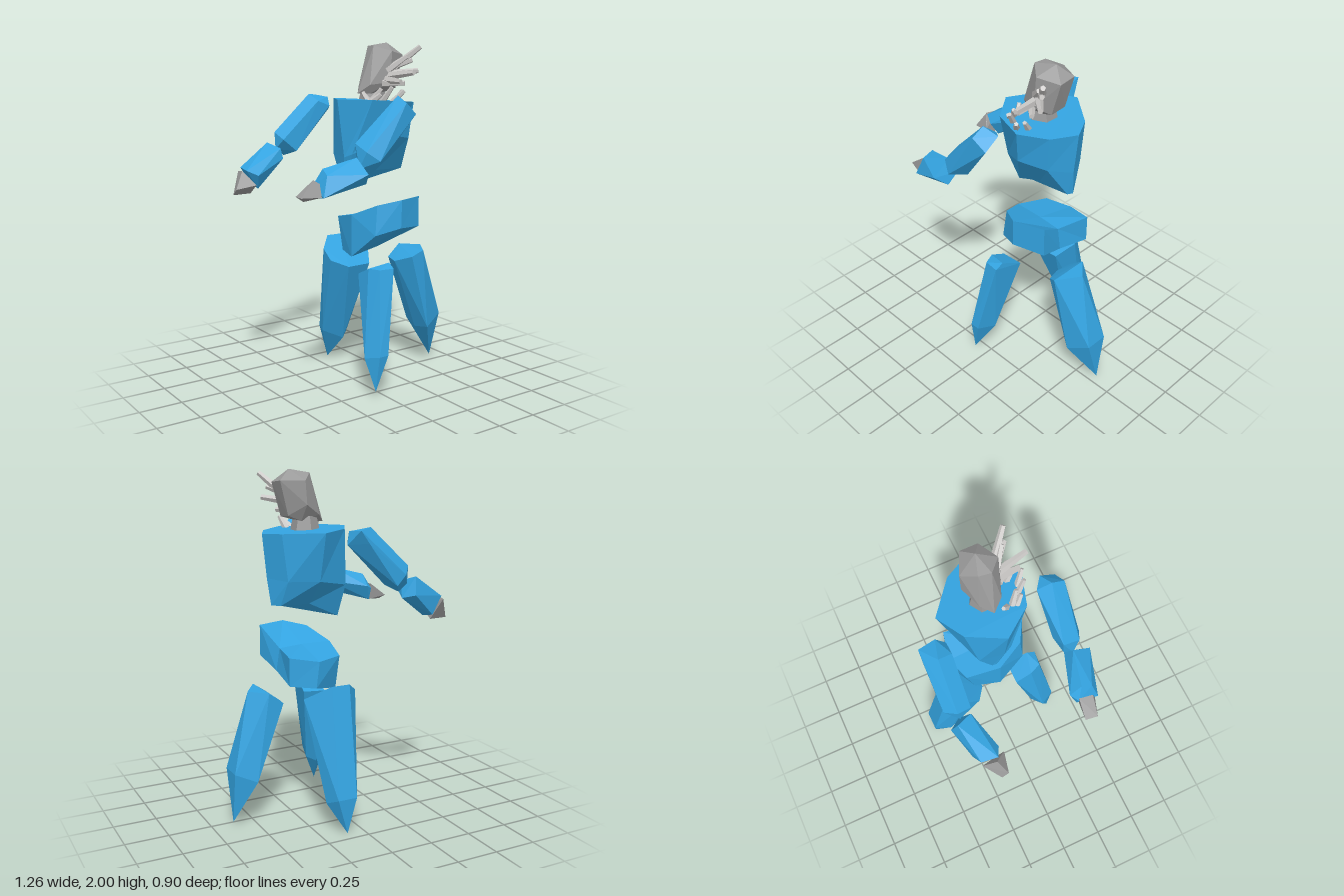
import * as THREE from 'three';
import { ConvexGeometry } from 'three/addons/geometries/ConvexGeometry.js';

const blue = new THREE.MeshStandardMaterial({ color: 0x33a3e0 });
blue.name = 'blue stone';
const grey = new THREE.MeshStandardMaterial({ color: 0x999999 });
grey.name = 'grey stone';
const paleGrey = new THREE.MeshStandardMaterial({ color: 0xc8c6c4 });
paleGrey.name = 'pale grey';

const vec = (p) => new THREE.Vector3(...p);

function addMesh(parent, name, geometry, material) {
  const mesh = new THREE.Mesh(geometry, material);
  mesh.name = name;
  parent.add(mesh);
  return mesh;
}

// Faceted convex stone from its corner points
const stone = (points) => new ConvexGeometry(points.map(vec));

// Faceted loft through equal, even-length loops, closed at both ends by strips
function loft(loops) {
  const rings = loops.map((loop) => loop.map(vec));
  const out = [];
  const quad = (a, b, c, d) => [a, b, c, a, c, d].forEach((p) => out.push(p.x, p.y, p.z));
  const n = rings[0].length;
  for (let r = 0; r < rings.length - 1; r++) {
    const a = rings[r], b = rings[r + 1];
    for (let i = 0; i < n; i++) {
      const j = (i + 1) % n;
      quad(a[i], a[j], b[j], b[i]);
    }
  }
  const first = rings[0], last = rings[rings.length - 1];
  for (let i = 0; i < n / 2 - 1; i++) {
    quad(first[n - 1 - i], first[n - 2 - i], first[i + 1], first[i]);
    quad(last[i], last[i + 1], last[n - 2 - i], last[n - 1 - i]);
  }
  const geometry = new THREE.BufferGeometry();
  geometry.setAttribute('position', new THREE.Float32BufferAttribute(out, 3));
  geometry.computeVertexNormals();
  return geometry;
}

// Blunt tapered spike between two points
function addSpike(parent, name, base, tip, radius) {
  const a = vec(base), b = vec(tip);
  const dir = b.clone().sub(a);
  const geometry = new THREE.CylinderGeometry(radius * 0.6, radius, dir.length(), 5).toNonIndexed();
  geometry.computeVertexNormals();
  const mesh = addMesh(parent, name, geometry, paleGrey);
  mesh.position.copy(a).add(b).multiplyScalar(0.5);
  mesh.quaternion.setFromUnitVectors(new THREE.Vector3(0, 1, 0), dir.normalize());
}

export function createModel() {
  const model = new THREE.Group();
  model.name = 'stoneGolem';

  // Torso: broad top ring, middle ring, slanted keel
  addMesh(model, 'torso', loft([
    [[-0.105, 1.68, 0], [0, 1.68, -0.2], [0.16, 1.67, -0.29], [0.35, 1.66, -0.14],
      [0.415, 1.655, -0.02], [0.345, 1.66, 0.125], [0.2, 1.67, 0.22], [0.02, 1.68, 0.165]],
    [[-0.06, 1.35, 0], [-0.04, 1.36, -0.14], [0.16, 1.4, -0.22], [0.32, 1.4, -0.15],
      [0.39, 1.41, -0.02], [0.32, 1.45, 0.11], [0.17, 1.475, 0.18], [-0.04, 1.37, 0.05]],
    [[-0.035, 1.18, -0.05], [-0.03, 1.17, -0.06], [0.165, 1.26, -0.09], [0.34, 1.26, -0.09],
      [0.375, 1.26, -0.04], [0.36, 1.26, -0.01], [0.165, 1.26, 0], [-0.03, 1.17, -0.03]],
  ]), blue);

  // Pelvis: bent block, front end raised
  addMesh(model, 'pelvis', loft([
    [[0.06, 1.08, 0.16], [0.185, 1.11, 0.23], [0.36, 1.11, 0.165],
      [0.36, 0.93, 0.165], [0.18, 0.945, 0.23], [0.04, 0.905, 0.17]],
    [[-0.01, 1.01, 0], [0.17, 1.01, 0], [0.31, 1.0, 0],
      [0.33, 0.87, 0], [0.18, 0.8, 0], [-0.01, 0.76, 0]],
    [[0.03, 0.97, -0.2], [0.18, 0.96, -0.25], [0.345, 0.99, -0.21],
      [0.345, 0.83, -0.21], [0.2, 0.81, -0.25], [0.03, 0.77, -0.15]],
  ]), blue);

  // Three floating legs: sloped top, widest near the foot, pointed tip
  const legs = {
    frontLeg: [[-0.03, 0.73, 0.2], [0, 0.73, 0.27], [0.095, 0.755, 0.23], [0.09, 0.73, 0.28],
      [0.11, 0.69, 0.1], [-0.03, 0.68, 0.1],
      [-0.105, 0.23, 0.27], [-0.06, 0.25, 0.355], [0, 0.25, 0.355], [0.03, 0.22, 0.24],
      [-0.03, 0.19, 0.22], [-0.065, 0.04, 0.325]],
    backLeg: [[-0.05, 0.77, -0.24], [-0.05, 0.71, -0.16], [0.03, 0.83, -0.32], [0.14, 0.83, -0.32],
      [0.26, 0.745, -0.21], [0.2, 0.67, -0.11], [0.04, 0.67, -0.1],
      [0.05, 0.21, -0.45], [0.165, 0.21, -0.45], [0.195, 0.17, -0.36], [0.12, 0.16, -0.285],
      [0.01, 0.21, -0.35], [0.1, 0, -0.435]],
    leftLeg: [[0.31, 0.69, 0], [0.36, 0.73, 0.11], [0.42, 0.77, 0.14], [0.51, 0.77, 0],
      [0.42, 0.77, -0.1], [0.33, 0.7, -0.09],
      [0.63, 0.32, 0.05], [0.63, 0.32, -0.085], [0.51, 0.27, -0.13], [0.49, 0.24, -0.02],
      [0.5, 0.26, 0.095], [0.63, 0.02, -0.04]],
  };
  for (const [name, points] of Object.entries(legs)) addMesh(model, name, stone(points), blue);

  // Arms reaching to the right, each with upper arm, forearm and hand
  const arms = {
    frontArm: {
      upperArm: [[0.15, 1.67, 0.3], [0.15, 1.61, 0.39], [0.07, 1.71, 0.33], [0.09, 1.65, 0.255],
        [0.07, 1.67, 0.405], [-0.115, 1.37, 0.425], [-0.04, 1.37, 0.35], [-0.1, 1.4, 0.27],
        [-0.185, 1.46, 0.29], [-0.18, 1.42, 0.39], [-0.2, 1.33, 0.35], [-0.18, 1.34, 0.3]],
      forearm: [[-0.21, 1.39, 0.34], [-0.17, 1.31, 0.31], [-0.175, 1.25, 0.38], [-0.21, 1.31, 0.45],
        [-0.4, 1.34, 0.3], [-0.4, 1.27, 0.235], [-0.445, 1.25, 0.27], [-0.45, 1.2, 0.39],
        [-0.43, 1.18, 0.27], [-0.41, 1.31, 0.36]],
      hand: [[-0.44, 1.28, 0.27], [-0.45, 1.2, 0.37], [-0.44, 1.18, 0.28], [-0.45, 1.27, 0.35],
        [-0.545, 1.2, 0.265], [-0.555, 1.2, 0.335], [-0.52, 1.175, 0.3]],
    },
    backArm: {
      upperArm: [[-0.065, 1.7, -0.37], [0.03, 1.69, -0.44], [0.05, 1.68, -0.34], [0.03, 1.63, -0.29],
        [-0.05, 1.66, -0.29], [0.07, 1.61, -0.36], [-0.02, 1.62, -0.44], [-0.25, 1.44, -0.44],
        [-0.3, 1.48, -0.38], [-0.285, 1.44, -0.3], [-0.2, 1.37, -0.295], [-0.2, 1.38, -0.435],
        [-0.3, 1.38, -0.37], [-0.24, 1.34, -0.38]],
      forearm: [[-0.34, 1.42, -0.4], [-0.3, 1.39, -0.31], [-0.27, 1.3, -0.37], [-0.32, 1.32, -0.435],
        [-0.29, 1.33, -0.3], [-0.54, 1.29, -0.36], [-0.55, 1.28, -0.265], [-0.49, 1.25, -0.235],
        [-0.47, 1.17, -0.28], [-0.47, 1.19, -0.38]],
      hand: [[-0.555, 1.27, -0.36], [-0.54, 1.24, -0.25], [-0.515, 1.2, -0.215], [-0.515, 1.145, -0.29],
        [-0.63, 1.18, -0.24], [-0.63, 1.145, -0.28], [-0.57, 1.28, -0.28]],
    },
  };
  for (const [name, parts] of Object.entries(arms)) {
    const arm = new THREE.Group();
    arm.name = name;
    model.add(arm);
    for (const [part, points] of Object.entries(parts)) {
      addMesh(arm, part, stone(points), part === 'hand' ? grey : blue);
    }
  }

  // Head, leaning to the left, on a short neck
  addMesh(model, 'head', stone([
    [0.13, 1.98, 0.02], [0.14, 1.98, -0.05], [0.2, 1.94, -0.125], [0.325, 1.94, -0.07],
    [0.33, 1.93, 0.035], [0.21, 1.95, 0.09], [0.25, 2, -0.015],
    [0.04, 1.71, -0.01], [0.085, 1.76, 0.05], [0.2, 1.775, 0.095], [0.275, 1.74, 0.04],
    [0.275, 1.75, -0.06], [0.19, 1.81, -0.125], [0.09, 1.75, -0.07],
    [0.1, 1.71, 0.03], [0.2, 1.72, 0.04], [0.2, 1.72, -0.07],
  ]), grey);
  const neckGeometry = new THREE.CylinderGeometry(0.065, 0.085, 0.09, 6).toNonIndexed();
  neckGeometry.computeVertexNormals();
  addMesh(model, 'neck', neckGeometry, grey).position.set(0.155, 1.7, -0.02);

  // Spikes growing out of the face
  [
    [[0.23, 1.85, 0.07], [0.345, 1.975, 0.18], 0.025],
    [[0.21, 1.82, 0.07], [0.33, 1.84, 0.18], 0.025],
    [[0.2, 1.81, 0.08], [0.235, 1.83, 0.26], 0.025],
    [[0.22, 1.86, 0.07], [0.31, 1.9, 0.15], 0.024],
    [[0.18, 1.79, 0.08], [0.19, 1.78, 0.2], 0.024],
    [[0.16, 1.77, 0.07], [0.25, 1.77, 0.16], 0.024],
    [[0.19, 1.84, 0.07], [0.28, 1.92, 0.14], 0.024],
  ].forEach(([base, tip, r], i) => addSpike(model, `faceSpike${i + 1}`, base, tip, r));

  // Small spikes on the collar
  [
    [[0.1, 1.66, 0.14], [0.13, 1.75, 0.2]],
    [[0.06, 1.67, 0.1], [0.1, 1.74, 0.14]],
    [[0.15, 1.66, 0.17], [0.2, 1.73, 0.22]],
    [[0.06, 1.67, 0.07], [0.04, 1.72, 0.04]],
    [[0.05, 1.67, 0.12], [0.08, 1.71, 0.16]],
    [[0.2, 1.66, 0.13], [0.22, 1.73, 0.18]],
  ].forEach(([base, tip], i) => addSpike(model, `collarSpike${i + 1}`, base, tip, 0.02));

  return model;
}
